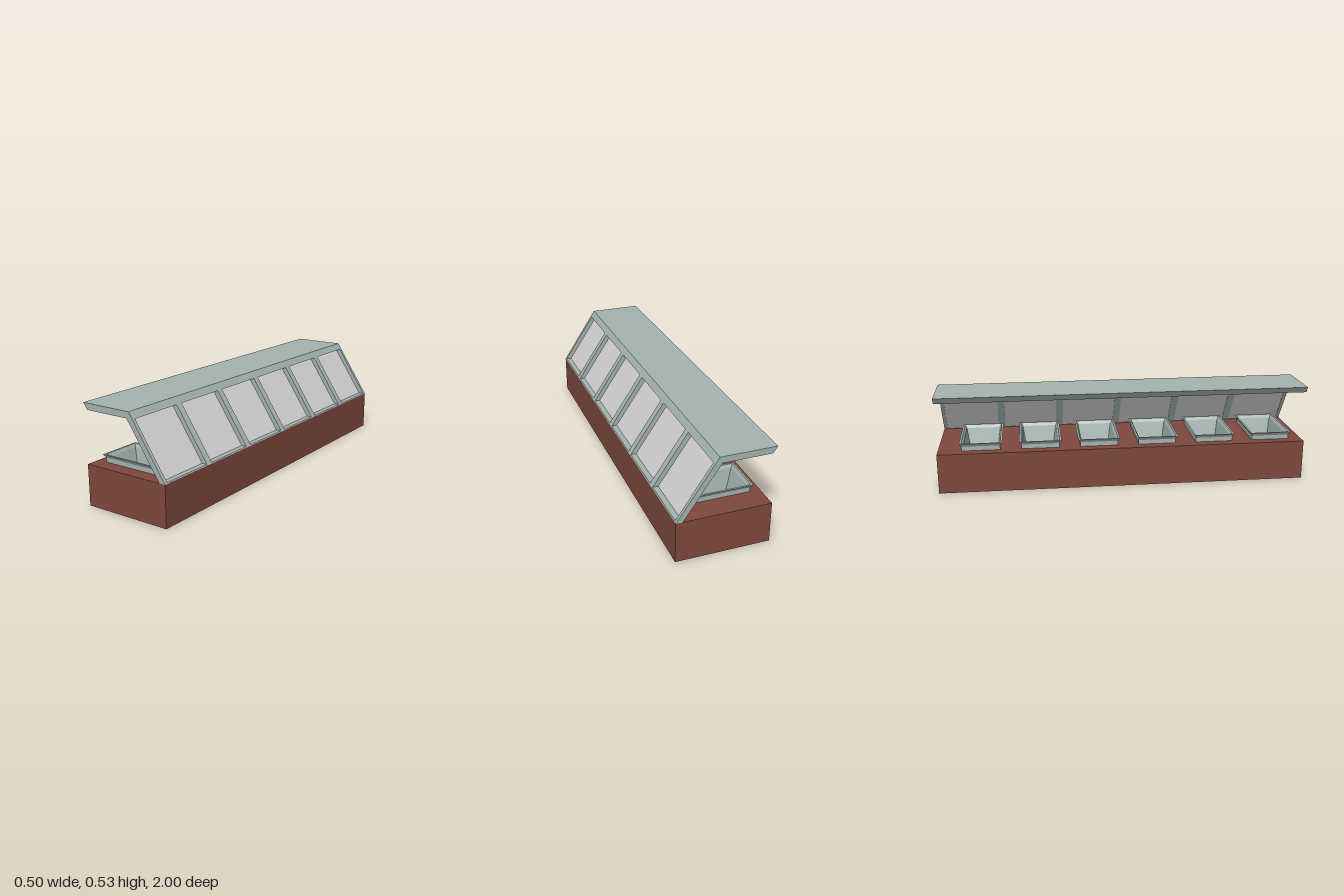
import * as THREE from 'three';

const sage = new THREE.MeshStandardMaterial({ color: 0xa3b3b0 });
sage.name = 'sage metal';
const brown = new THREE.MeshStandardMaterial({ color: 0x7e483d });
brown.name = 'red brown counter';
const glass = new THREE.MeshStandardMaterial({ color: 0xd2cfcf });
glass.name = 'pale glass';

const COUNTER = 0.217;
const TRAYS = 6, PITCH = 0.319, FIRST = -0.771;
const TRAY = { x: -0.0215, hx: 0.1785, hz: 0.114 };

// Extrudes an x/y profile along z between z0 and z1
function bar(name, points, z0, z1, material) {
  const shape = new THREE.Shape(points.map(([x, y]) => new THREE.Vector2(x, y)));
  const geo = new THREE.ExtrudeGeometry(shape, { depth: z1 - z0, bevelEnabled: false });
  geo.translate(0, 0, z0);
  const mesh = new THREE.Mesh(geo, material);
  mesh.name = name;
  return mesh;
}

// Lofts nested rectangles: each level is [y, insetX, insetZ]; the last one is capped
function trayGeometry(levels) {
  const rings = levels.map(([y, ix, iz]) => {
    const x = TRAY.hx - ix, z = TRAY.hz - iz;
    return [[-x, y, z], [x, y, z], [x, y, -z], [-x, y, -z]];
  });
  const pos = [];
  const quad = (a, b, c, d) => pos.push(...a, ...b, ...c, ...a, ...c, ...d);
  for (let r = 0; r < rings.length - 1; r++) {
    for (let i = 0; i < 4; i++) {
      const j = (i + 1) % 4;
      quad(rings[r][i], rings[r][j], rings[r + 1][j], rings[r + 1][i]);
    }
  }
  quad(...rings[rings.length - 1]);
  const geo = new THREE.BufferGeometry();
  geo.setAttribute('position', new THREE.Float32BufferAttribute(pos, 3));
  geo.computeVertexNormals();
  return geo;
}

const rect = (T, x0, x1, y0, y1) => new T([[x0, y0], [x1, y0], [x1, y1], [x0, y1]]
  .map(([x, y]) => new THREE.Vector2(x, y)));

export function createModel() {
  const group = new THREE.Group();

  // Counter with one well per tray
  const outline = rect(THREE.Shape, -0.243, 0.247, -1, 1);
  for (let i = 0; i < TRAYS; i++) {
    const z = FIRST + i * PITCH, hx = TRAY.hx - 0.012, hz = TRAY.hz - 0.012;
    outline.holes.push(rect(THREE.Path, TRAY.x - hx, TRAY.x + hx, -z - hz, -z + hz));
  }
  const counterGeo = new THREE.ExtrudeGeometry(outline, { depth: COUNTER - 0.001, bevelEnabled: false });
  counterGeo.rotateX(-Math.PI / 2);
  counterGeo.translate(0, 0.001, 0);
  const counter = new THREE.Mesh(counterGeo, brown);
  counter.name = 'counter';
  group.add(counter);

  // Underside plate
  const underside = new THREE.Mesh(new THREE.BoxGeometry(0.49, 0.001, 2), sage);
  underside.position.set(0.002, 0.0005, 0);
  underside.name = 'underside';
  group.add(underside);

  // Food trays: collar, flared rim, deep tapering basin
  const trayGeo = trayGeometry([
    [COUNTER, 0.011, 0.011], [0.241, 0.011, 0.011], [0.258, 0, 0],
    [0.258, 0.01, 0.01], [0.241, 0.02, 0.02], [0.06, 0.07, 0.05],
  ]);
  for (let i = 0; i < TRAYS; i++) {
    const tray = new THREE.Mesh(trayGeo, sage);
    tray.position.set(TRAY.x, 0, FIRST + i * PITCH);
    tray.name = 'tray';
    group.add(tray);
  }

  // Overhead canopy with its mitred edges
  group.add(bar('canopy', [[-0.25, 0.527], [-0.226, 0.493], [0.0627, 0.493], [0.04, 0.527]], -1, 1, sage));

  // Slanted posts between the panes
  const post = [[0.026, 0.493], [0.212, COUNTER], [0.247, COUNTER], [0.0627, 0.493]];
  for (let i = 0; i <= TRAYS; i++) {
    const z = -1 + i / 3;
    group.add(bar('post', post, Math.max(-1, z - 0.019), Math.min(1, z + 0.019), sage));
  }

  // Sill and recessed panes
  const sill = [[0.2086, 0.222], [0.212, COUNTER], [0.247, COUNTER], [0.2437, 0.222]];
  const pane = [[0.029, 0.493], [0.2116, 0.222], [0.2146, 0.222], [0.032, 0.493]];
  for (let i = 0; i < TRAYS; i++) {
    const z0 = -1 + i / 3 + 0.019, z1 = -1 + (i + 1) / 3 - 0.019;
    group.add(bar('sill', sill, z0, z1, sage));
    group.add(bar('glassPane', pane, z0, z1, glass));
  }

  return group;
}
